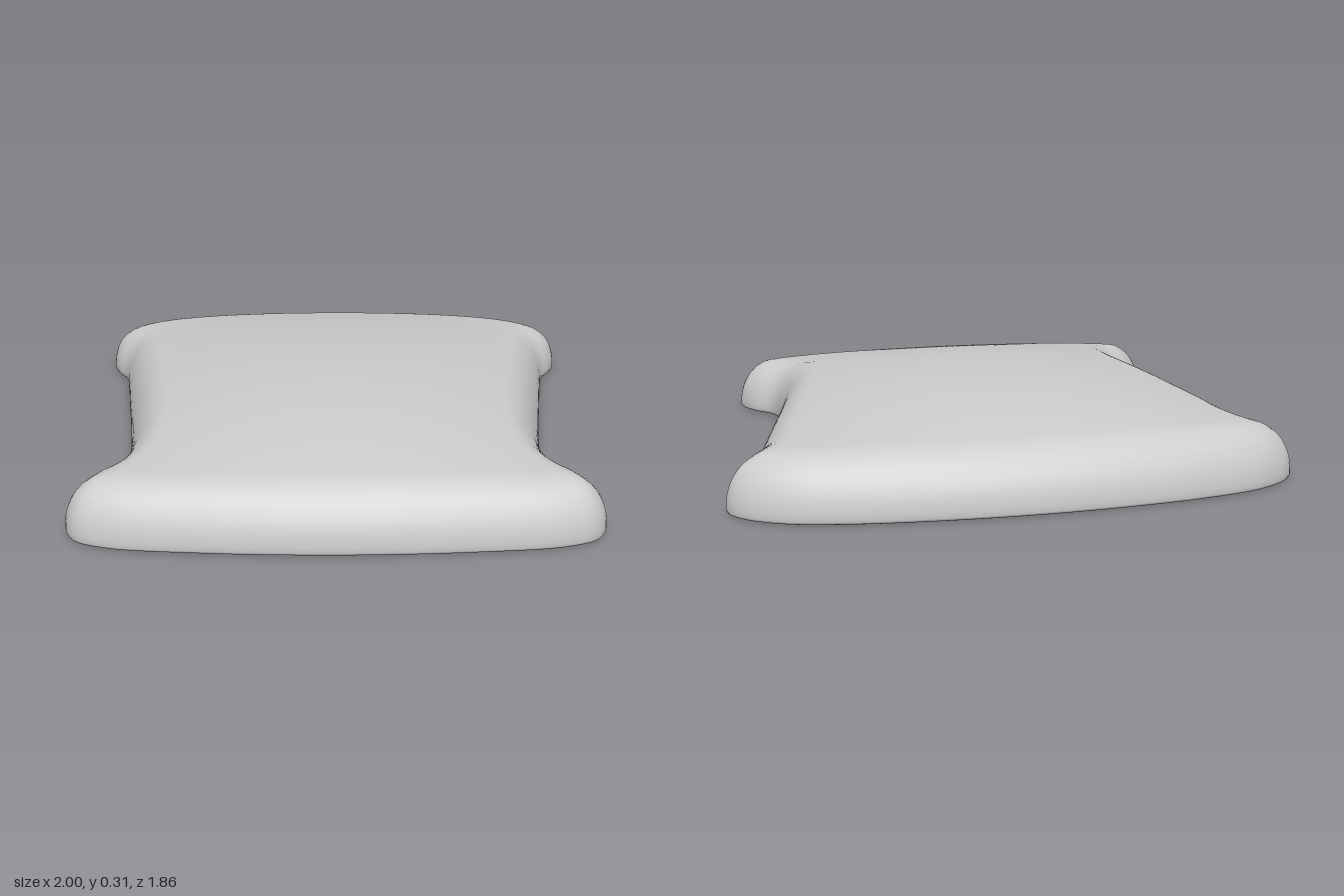
import * as THREE from 'three';
import { mergeVertices } from 'three/addons/utils/BufferGeometryUtils.js';

// Half of the plan outline (x, z), from back centre to front centre
const HALF = [
  [0, -0.93], [0.3, -0.92], [0.6, -0.89], [0.82, -0.84], [0.95, -0.765], [1.0, -0.69],
  [0.98, -0.615], [0.925, -0.53], [0.9, -0.42], [0.86, -0.2], [0.815, 0.05], [0.785, 0.25],
  [0.775, 0.4], [0.8, 0.55], [0.88, 0.635], [0.932, 0.74], [0.895, 0.83], [0.78, 0.88],
  [0.45, 0.915], [0, 0.93],
];
const N = 240; // points around the outline
const EDGE = 0.15; // width of the rounded rim
const LIP = 0.012; // small rounding at the bottom

function makeOutline() {
  const mirrored = HALF.slice(1, -1).reverse().map(([x, z]) => [-x, z]);
  const pts = [...HALF, ...mirrored].map(([x, z]) => new THREE.Vector3(x, 0, z));
  const curve = new THREE.CatmullRomCurve3(pts, true, 'centripetal');
  curve.arcLengthDivisions = 1000;
  return Array.from({ length: N }, (_, j) => {
    const p = curve.getPointAt(j / N);
    const t = curve.getTangentAt(j / N);
    return { x: p.x, z: p.z, nx: -t.z, nz: t.x }; // n points inward
  });
}

// Shortest distance from a point to the outline
function edgeDistance(outline, x, z) {
  let best = Infinity;
  for (let j = 0; j < N; j++) {
    const a = outline[j], b = outline[(j + 1) % N];
    const dx = b.x - a.x, dz = b.z - a.z;
    const s = THREE.MathUtils.clamp(((x - a.x) * dx + (z - a.z) * dz) / (dx * dx + dz * dz), 0, 1);
    best = Math.min(best, Math.hypot(x - a.x - s * dx, z - a.z - s * dz));
  }
  return best;
}

// Gentle dome, dropping to an elliptical rim at the edge
function height(x, z, d) {
  const fx = Math.max(0, 1 - (x / 0.92) ** 2);
  const fz = Math.max(0, 1 - (z / 0.89) ** 2);
  const dome = 0.2 + 0.11 * fx * fz;
  const u = Math.min(1, d / EDGE);
  return LIP + (dome - LIP) * Math.sqrt(1 - (1 - u) ** 2);
}

function shellGeometry(outline) {
  const pos = [], index = [];
  let rings = 0;
  const addRing = (f) => {
    outline.forEach((p) => pos.push(...f(p)));
    rings++;
  };
  const inset = (p, d) => [p.x + p.nx * d, p.z + p.nz * d];

  // Bottom lip
  for (const a of [0, 0.5, 1]) {
    const ang = a * Math.PI / 2;
    addRing((p) => {
      const [x, z] = inset(p, LIP * (1 - Math.sin(ang)));
      return [x, LIP * (1 - Math.cos(ang)), z];
    });
  }
  // Steep wall, following the outline
  const WALL = 0.045, wallSteps = 8;
  for (let i = 1; i <= wallSteps; i++) {
    const d = WALL * (i / wallSteps) ** 2;
    addRing((p) => {
      const [x, z] = inset(p, d);
      return [x, height(x, z, d), z];
    });
  }
  // Top, shrinking towards the centre
  const topSteps = 36;
  for (let i = 1; i <= topSteps; i++) {
    const k = 1 - (i / topSteps) ** 1.6;
    addRing((p) => {
      const [qx, qz] = inset(p, WALL);
      const x = qx * k, z = qz * k;
      return [x, height(x, z, edgeDistance(outline, x, z)), z];
    });
  }

  for (let i = 0; i < rings - 1; i++) {
    for (let j = 0; j < N; j++) {
      const a = i * N + j, c = i * N + (j + 1) % N;
      index.push(a, a + N, c);
      if (i < rings - 2) index.push(c, a + N, c + N);
    }
  }
  const geo = new THREE.BufferGeometry();
  geo.setAttribute('position', new THREE.Float32BufferAttribute(pos, 3));
  geo.setIndex(index);
  const merged = mergeVertices(geo, 1e-5);
  merged.computeVertexNormals();
  return merged;
}

export function createModel() {
  const group = new THREE.Group();
  group.name = 'contouredPad';
  const material = new THREE.MeshStandardMaterial({ color: 0xcccccc });
  const outline = makeOutline();

  const shell = new THREE.Mesh(shellGeometry(outline), material);
  shell.name = 'domedShell';
  group.add(shell);

  // Flat underside
  const shape = new THREE.Shape(outline.map((p) => new THREE.Vector2(p.x + p.nx * LIP, p.z + p.nz * LIP)));
  const base = new THREE.Mesh(new THREE.ShapeGeometry(shape).rotateX(Math.PI / 2), material);
  base.name = 'flatBase';
  group.add(base);

  return group;
}
